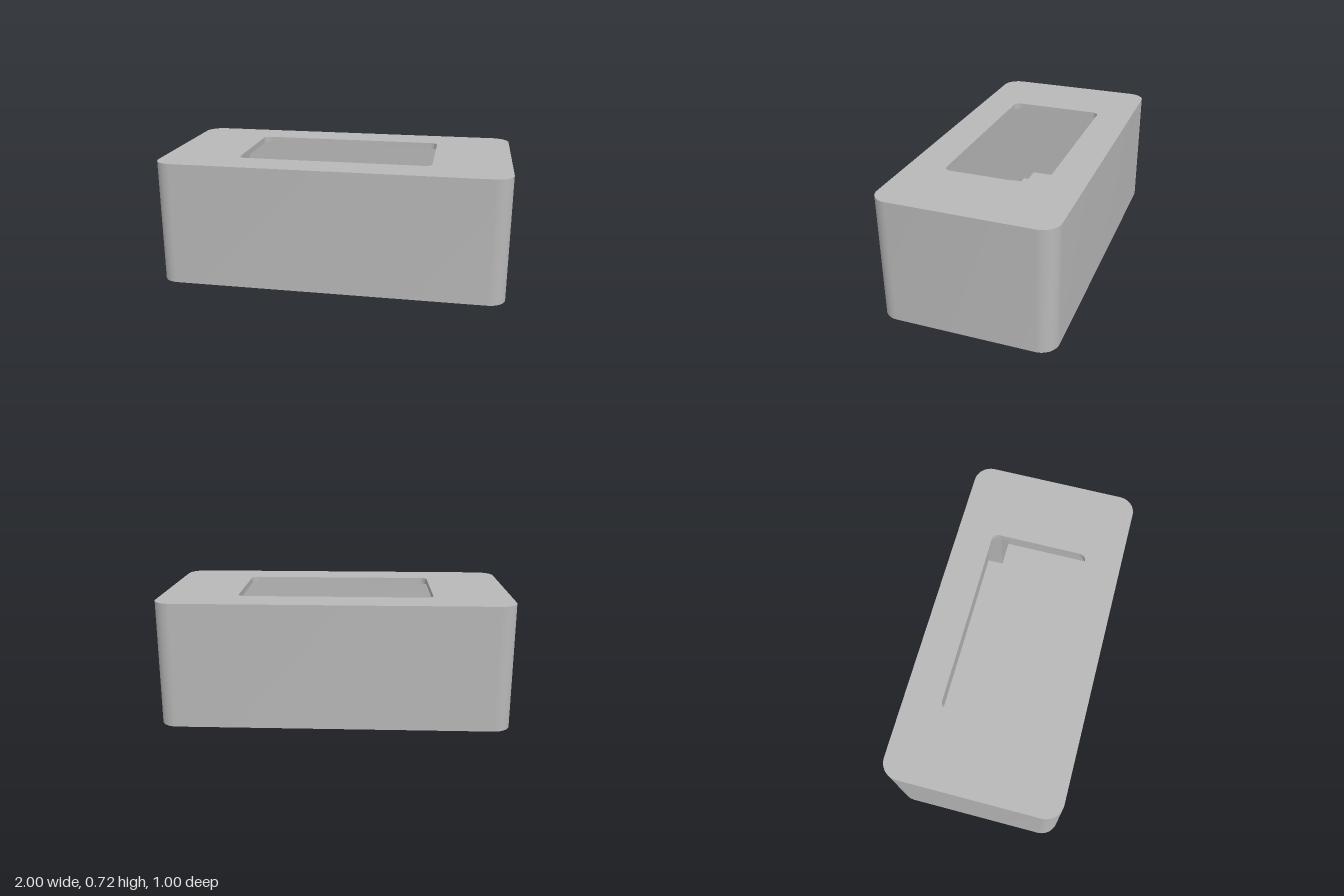
import * as THREE from 'three';
import { mergeGeometries, toCreasedNormals } from 'three/addons/utils/BufferGeometryUtils.js';

const HEIGHT = 0.72, CEILING = 0.685, FLOOR = 0.06, HOLE_TOP = 0.25;

// Counter-clockwise plan outlines; plan y points to the back (-z)
function roundedRect(hx, hy, r) {
  const pts = [];
  const corners = [[1, 1], [-1, 1], [-1, -1], [1, -1]];
  corners.forEach(([sx, sy], k) => {
    for (let i = 0; i <= 12; i++) {
      const a = (k + i / 12) * Math.PI / 2;
      pts.push(new THREE.Vector2(sx * (hx - r) + r * Math.cos(a), sy * (hy - r) + r * Math.sin(a)));
    }
  });
  return pts;
}

function circle(x, y, r) {
  return Array.from({ length: 40 }, (_, i) => {
    const a = i / 40 * Math.PI * 2;
    return new THREE.Vector2(x + r * Math.cos(a), y + r * Math.sin(a));
  });
}

// Flat face at a height, facing up or down
function cap(outline, holes, y, up) {
  const shape = new THREE.Shape(outline);
  holes.forEach(h => shape.holes.push(new THREE.Path(h)));
  let geo = new THREE.ShapeGeometry(shape);
  if (!up) geo.index.array.reverse();
  geo.rotateX(-Math.PI / 2).translate(0, y, 0);
  geo = geo.toNonIndexed();
  geo.computeVertexNormals();
  geo.deleteAttribute('uv');
  return geo;
}

// Upright wall along an outline, facing outward or inward
function wall(outline, y0, y1, inward = false) {
  const pts = inward ? [...outline].reverse() : outline;
  const pos = [];
  pts.forEach((p, i) => {
    const q = pts[(i + 1) % pts.length];
    const c = [[p.x, y0, -p.y], [q.x, y0, -q.y], [q.x, y1, -q.y], [p.x, y1, -p.y]];
    [0, 1, 2, 0, 2, 3].forEach(k => pos.push(...c[k]));
  });
  const geo = new THREE.BufferGeometry();
  geo.setAttribute('position', new THREE.Float32BufferAttribute(pos, 3));
  return toCreasedNormals(geo, 0.5);
}

export function createModel() {
  const model = new THREE.Group();
  model.name = 'enclosure';
  const grey = new THREE.MeshStandardMaterial({ color: 0xb8b8b8 });
  grey.name = 'grey plastic';
  const add = (name, ...geos) => {
    const mesh = new THREE.Mesh(mergeGeometries(geos), grey);
    mesh.name = name;
    model.add(mesh);
  };

  const outer = roundedRect(1, 0.498, 0.1);
  const opening = roundedRect(0.558, 0.286, 0.04);

  // Cavity with a recess at the +x end and a stepped recess at the -x end
  const half = [[0.86, 0.28], [0.70, 0.28], [0.70, 0.38], [-0.70, 0.38],
    [-0.70, 0.305], [-0.76, 0.305], [-0.76, 0.27], [-0.88, 0.27]];
  const cavity = [...half, ...half.map(([x, y]) => [x, -y]).reverse()]
    .map(([x, y]) => new THREE.Vector2(x, y));

  // Blind holes in the underside: four at the corners, two small ones
  const holes = [];
  for (const sx of [1, -1]) {
    for (const sy of [1, -1]) holes.push(circle(sx * 0.86, sy * 0.36, 0.09));
    holes.push(circle(sx * 0.5, -sx * 0.42, 0.032));
  }

  add('outerWalls', wall(outer, 0, HEIGHT));
  add('topFace', cap(outer, [opening], HEIGHT, true));
  add('openingLip', wall(opening, CEILING, HEIGHT, true), cap(cavity, [opening], CEILING, false));
  add('cavityWalls', wall(cavity, FLOOR, CEILING, true));
  add('cavityFloor', cap(cavity, [], FLOOR, true));
  add('underside', cap(outer, holes, 0, false));
  holes.forEach((h, i) => add(i % 3 === 2 ? 'screwHole' : 'cornerHole',
    wall(h, 0, HOLE_TOP, true), cap(h, [], HOLE_TOP, false)));
  return model;
}
